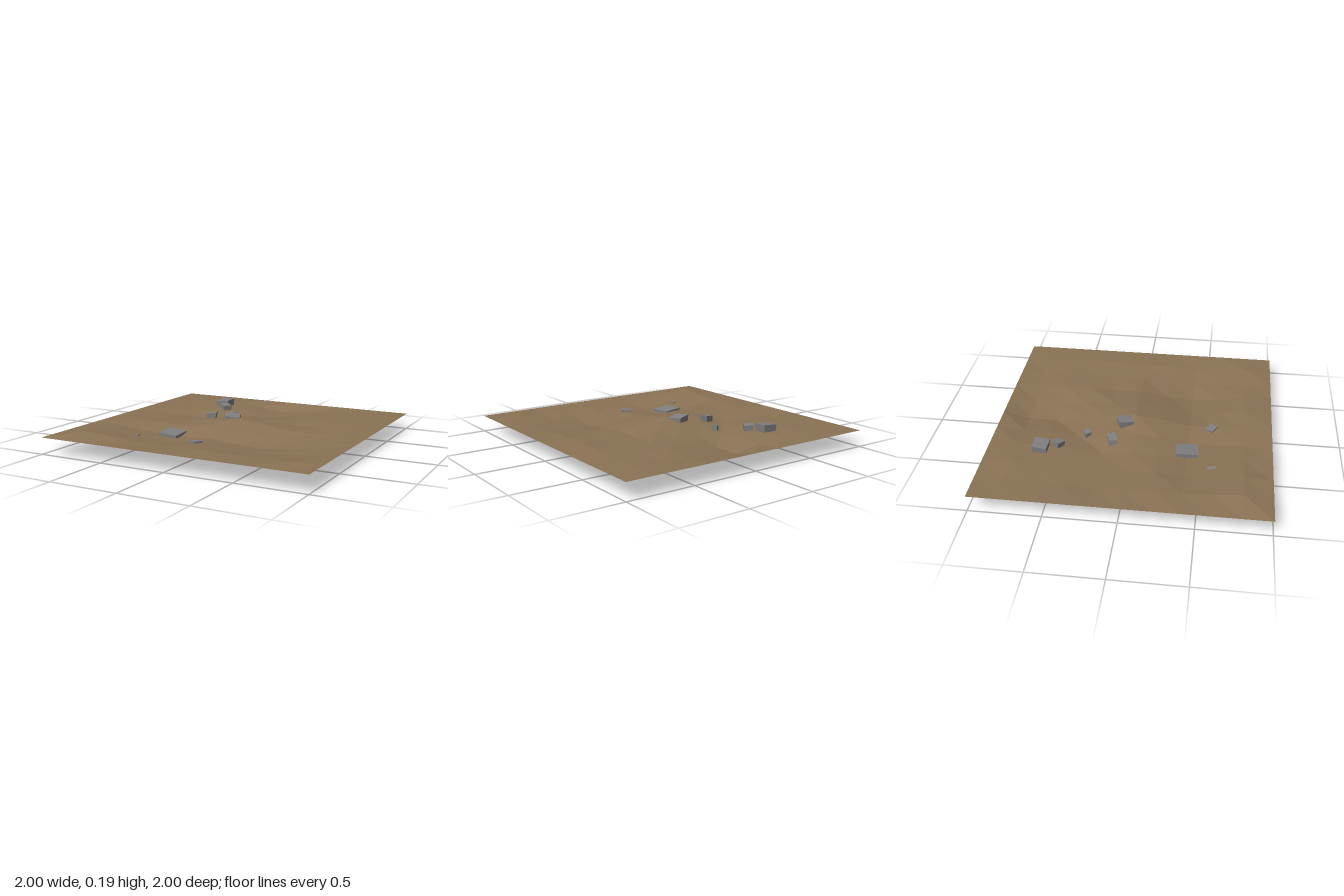
import * as THREE from 'three';

const soil = new THREE.MeshStandardMaterial({ color: 0x8b7355, flatShading: true, side: THREE.DoubleSide });
const stone = new THREE.MeshStandardMaterial({ color: 0x808080, flatShading: true });

// heights in hundredths at the inner grid points: rows run back to front, columns left to right
const HEIGHTS = [
  [12.5, 13.5, 13, 10.5, 7, 9, 11, 11.5, 12.5],
  [12, 12.5, 12.5, 10.5, 7, 9.5, 12, 12, 12.5],
  [12, 12, 11.5, 9.5, 10, 11, 12, 12, 13],
  [11, 10.5, 10, 12.5, 14, 13.5, 11, 11.5, 13],
  [12, 11.5, 12, 13.5, 17, 15, 12, 11.5, 12.5],
  [13, 12.5, 12, 12.5, 14, 12, 9, 10, 12],
  [12, 10, 9, 8.5, 10, 8, 6.8, 9, 11],
  [13, 11.5, 10, 9, 10.5, 10, 9, 10, 11.5],
  [15, 14, 12, 11, 11.5, 12.5, 12, 11.5, 13],
];
const RIM = 12;

// uneven ground sheet with a level rim
function makeGround() {
  const geo = new THREE.PlaneGeometry(2, 2, 10, 10).rotateX(-Math.PI / 2);
  const pos = geo.attributes.position;
  for (let i = 0; i < pos.count; i++) {
    const col = i % 11, row = Math.floor(i / 11);
    pos.setY(i, (HEIGHTS[row - 1]?.[col - 1] ?? RIM) / 100);
  }
  geo.computeVertexNormals();
  const ground = new THREE.Mesh(geo, soil);
  ground.name = 'ground';
  return ground;
}

// skewed block: the top leans and slopes, the base is slightly narrower
function makeRock({ x, z, w, d, bottom, top, yaw, slopeX = 0, slopeZ = 0, lean = 0 }) {
  const h = top - bottom;
  const geo = new THREE.BoxGeometry(w, h, d);
  const pos = geo.attributes.position;
  for (let i = 0; i < pos.count; i++) {
    const px = pos.getX(i), py = pos.getY(i), pz = pos.getZ(i);
    const t = py / h + 0.5;
    const s = 0.9 + 0.1 * t;
    // slopes only cut inward, so the height range holds
    const sx = slopeX * (px / w + (t - 0.5) * -Math.sign(slopeX));
    const sz = slopeZ * (pz / d + (t - 0.5) * -Math.sign(slopeZ));
    pos.setXYZ(i, px * s + lean * (t - 1), py + sx + sz, pz * s);
  }
  geo.computeVertexNormals();
  const rock = new THREE.Mesh(geo, stone);
  rock.position.set(x, (top + bottom) / 2, z);
  rock.rotation.y = yaw;
  rock.name = 'rock';
  return rock;
}

const ROCKS = [
  { x: -0.435, z: -0.62, w: 0.11, d: 0.105, bottom: 0.095, top: 0.182, yaw: -0.05, slopeX: 0.008, slopeZ: -0.008 },
  { x: -0.37, z: -0.51, w: 0.068, d: 0.068, bottom: 0.085, top: 0.162, yaw: -0.6, slopeX: -0.01 },
  { x: -0.21, z: -0.328, w: 0.045, d: 0.045, bottom: 0.085, top: 0.145, yaw: 0.65, slopeX: 0.008 },
  { x: -0.285, z: -0.135, w: 0.078, d: 0.06, bottom: 0.095, top: 0.168, yaw: 0.3, slopeX: 0.01, lean: 0.01 },
  { x: -0.07, z: -0.07, w: 0.11, d: 0.11, bottom: 0.093, top: 0.186, yaw: 0.37, slopeX: -0.01, slopeZ: -0.01 },
  { x: -0.307, z: 0.4, w: 0.14, d: 0.16, bottom: 0, top: 0.125, yaw: 0.06, slopeX: -0.012, slopeZ: -0.006 },
  { x: -0.02, z: 0.56, w: 0.075, d: 0.065, bottom: 0.052, top: 0.117, yaw: -0.5, slopeX: 0.006 },
  { x: -0.507, z: 0.585, w: 0.06, d: 0.06, bottom: 0.045, top: 0.112, yaw: 0.25, slopeX: 0.012 },
];

export function createModel() {
  const model = new THREE.Group();
  model.name = 'rockyGround';
  model.add(makeGround());
  const rocks = new THREE.Group();
  rocks.name = 'rocks';
  ROCKS.forEach((r) => rocks.add(makeRock(r)));
  model.add(rocks);
  return model;
}
